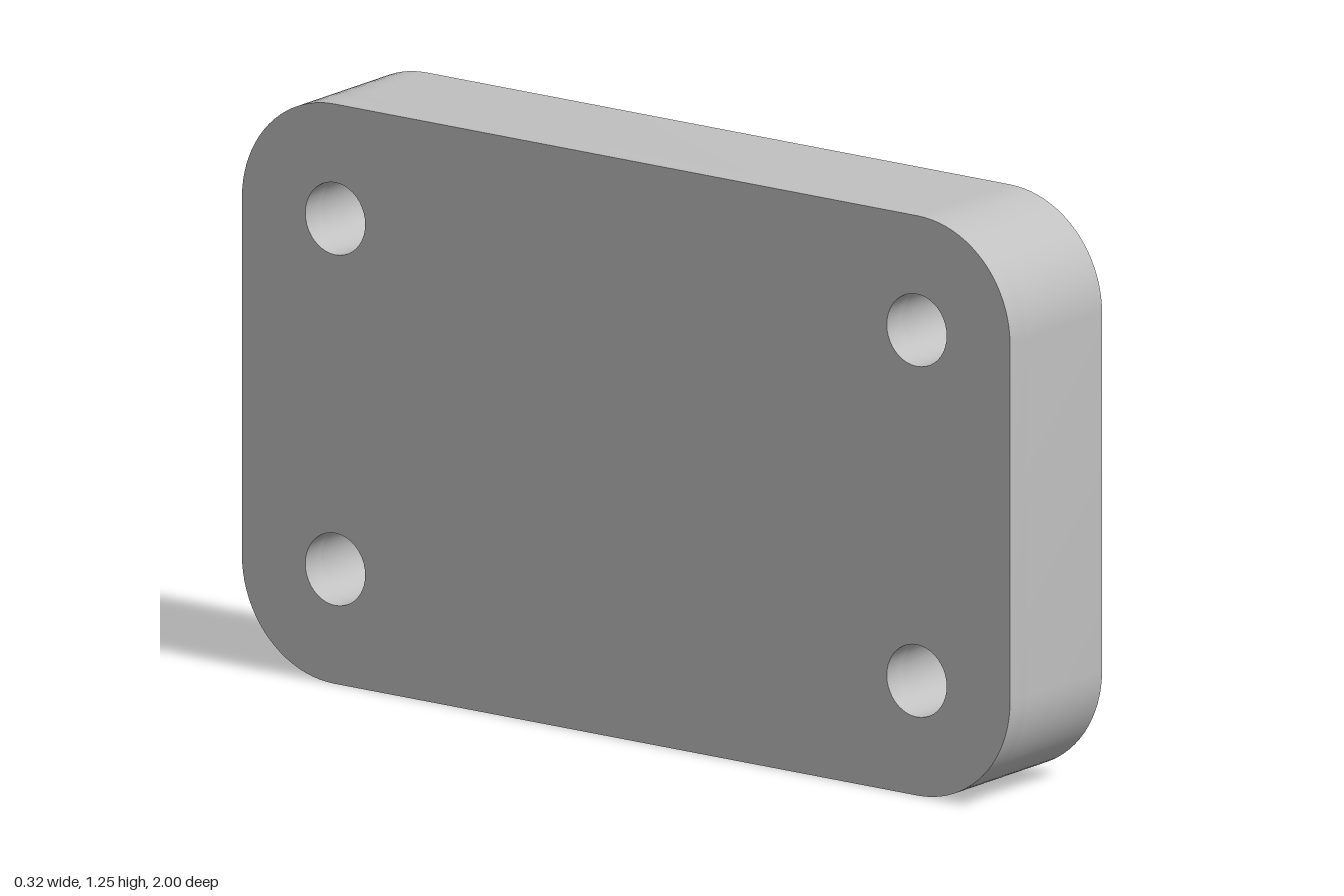
import * as THREE from 'three';
import { mergeGeometries, toCreasedNormals } from 'three/addons/utils/BufferGeometryUtils.js';

const HALF = 0.16;    // half thickness along x
const FLOOR = 0.055;  // thickness of the closed back
const MID = 0.625;    // centre height

// Polygon of [u, v, radius] corners, each replaced by a true arc.
function filleted(corners, segments = 12) {
  const points = [];
  corners.forEach(([u, v, r], i) => {
    const n = corners.length;
    const p = new THREE.Vector2(u, v);
    const a = new THREE.Vector2(...corners[(i + n - 1) % n].slice(0, 2)).sub(p).normalize();
    const b = new THREE.Vector2(...corners[(i + 1) % n].slice(0, 2)).sub(p).normalize();
    const half = Math.acos(a.dot(b)) / 2;
    const reach = r / Math.tan(half);
    const centre = a.clone().add(b).normalize().multiplyScalar(r / Math.sin(half)).add(p);
    const start = a.multiplyScalar(reach).add(p).sub(centre).angle();
    const end = b.multiplyScalar(reach).add(p).sub(centre).angle();
    let sweep = end - start;
    if (sweep > Math.PI) sweep -= 2 * Math.PI;
    if (sweep < -Math.PI) sweep += 2 * Math.PI;
    for (let k = 0; k <= segments; k++) {
      const t = start + sweep * k / segments;
      points.push(new THREE.Vector2(centre.x + r * Math.cos(t), centre.y + r * Math.sin(t)));
    }
  });
  return points;
}

const flipped = (corners, su, sv) => corners.map(([u, v, r]) => [u * su, v * sv, r]);

// Flat face, or the side walls only, of a shape; both non-indexed.
function face(shape, depth, backward = false) {
  const g = new THREE.ShapeGeometry(shape);
  if (backward) g.setIndex(Array.from(g.index.array).reverse());
  const out = g.toNonIndexed();
  out.translate(0, 0, depth);
  out.computeVertexNormals();
  return out;
}

function walls(shape, from, to) {
  const g = new THREE.ExtrudeGeometry(shape, { depth: to - from, bevelEnabled: false });
  const { start, count } = g.groups[1];
  const out = new THREE.BufferGeometry();
  for (const name of ['position', 'normal', 'uv']) {
    const { array, itemSize } = g.attributes[name];
    out.setAttribute(name, new THREE.BufferAttribute(
      array.slice(start * itemSize, (start + count) * itemSize), itemSize));
  }
  return toCreasedNormals(out.translate(0, 0, from), 0.5);
}

export function createModel() {
  const group = new THREE.Group();
  group.name = 'ribbedMountingBlock';
  const grey = new THREE.MeshStandardMaterial({ color: 0xc0c0c0 });
  grey.name = 'plain grey';

  // Rounded outline
  const outline = filleted(
    [[-1, -MID, 0.24], [1, -MID, 0.24], [1, MID, 0.24], [-1, MID, 0.24]], 20);

  // Four bolt holes
  const bolts = [];
  for (const su of [-1, 1]) for (const sv of [-1, 1]) {
    const hole = new THREE.Path();
    hole.absarc(su * 0.757, sv * 0.378, 0.078, 0, Math.PI * 2, true);
    bolts.push(new THREE.Path(hole.getPoints(20).slice(0, -1)));
  }

  // Pockets between the diagonal ribs
  const upper = [[-0.915, 0.53, 0.105], [0.915, 0.53, 0.105], [0, 0.055, 0.105]];
  const side = [
    [0.104, 0, 0.105], [0.61, 0.263, 0.1], [0.7, 0.217, 0.15], [0.909, 0.217, 0.1],
    [0.909, -0.217, 0.1], [0.7, -0.217, 0.15], [0.61, -0.263, 0.1],
  ];
  const pockets = [upper, flipped(upper, 1, -1), side, flipped(side, -1, 1)]
    .map((corners) => filleted(corners));

  const plate = new THREE.Shape(outline);
  plate.holes = bolts;
  const frame = new THREE.Shape(outline);
  frame.holes = [...bolts, ...pockets.map((p) => new THREE.Path(p))];

  const add = (name, parts) => {
    const g = mergeGeometries(parts);
    g.rotateY(Math.PI / 2);
    g.translate(0, MID, 0);
    const mesh = new THREE.Mesh(g, grey);
    mesh.name = name;
    group.add(mesh);
  };

  const inner = -HALF + FLOOR;
  add('ribbedFrame', [walls(frame, inner, HALF), face(frame, HALF)]);
  add('backPlate', [walls(plate, -HALF, inner), face(plate, -HALF, true)]);
  add('pocketFloors', pockets.map((p) => face(new THREE.Shape(p), inner)));
  return group;
}
